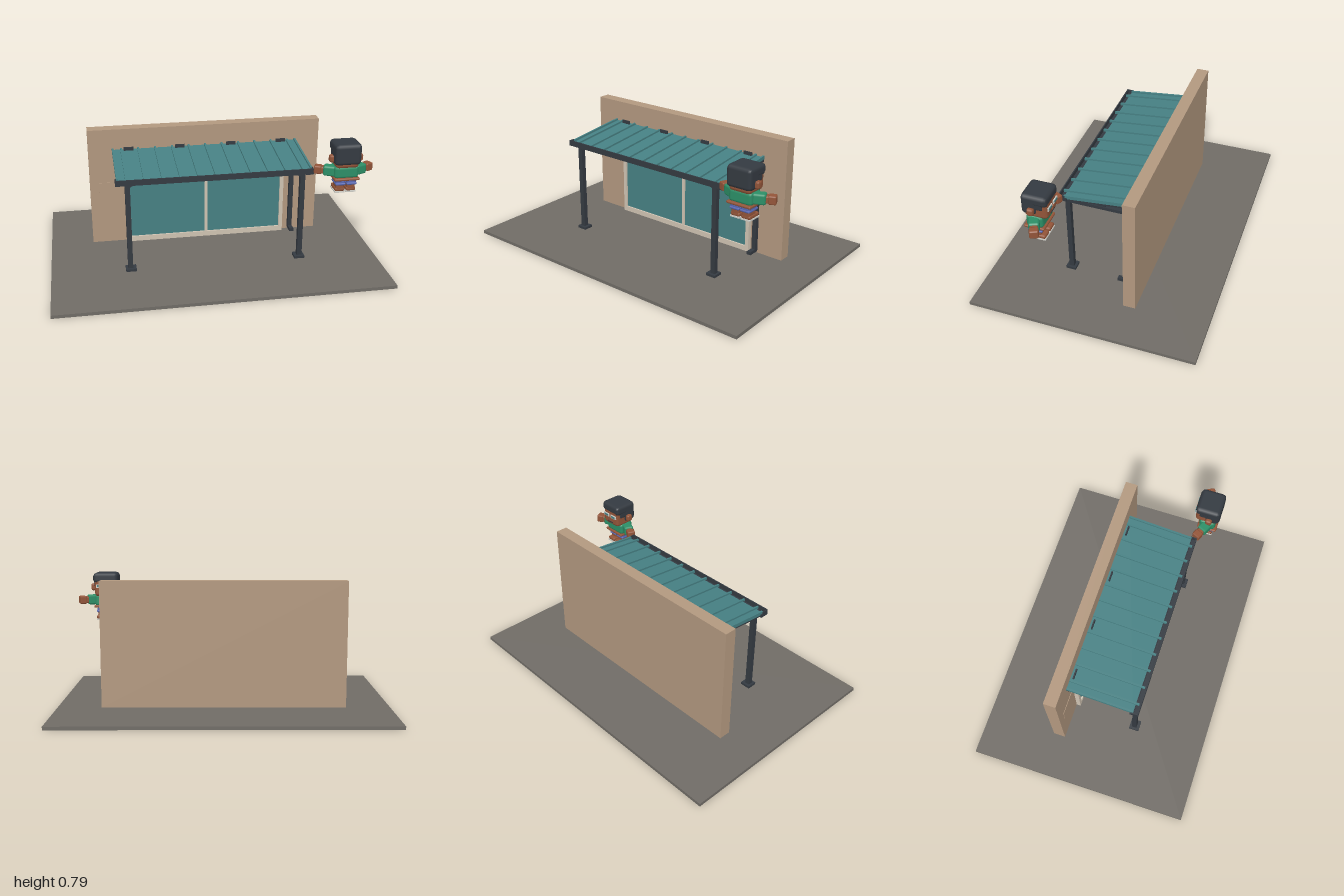
import * as THREE from 'three';
import { RoundedBoxGeometry } from 'three/addons/geometries/RoundedBoxGeometry.js';

const material = (name, color, side = THREE.FrontSide) => {
  const m = new THREE.MeshStandardMaterial({ color, side });
  m.name = name;
  return m;
};

export function createModel() {
  const model = new THREE.Group();
  model.name = 'patioCanopy';
  const paving = material('paving grey', 0x706c66);
  const render = material('wall tan', 0xb2987f);
  const teal = material('roof teal', 0x468083);
  const dark = material('dark metal', 0x343a41);
  const trim = material('frame cream', 0xcfc3b2);
  const skin = material('skin brown', 0x935539);
  const green = material('shirt green', 0x2c8f67);
  const blue = material('trouser blue', 0x5a69b4);
  const pale = material('pale grey', 0xcfcfc8);

  const add = (parent, name, geometry, mat, x, y, z) => {
    const mesh = new THREE.Mesh(geometry, mat);
    mesh.name = name;
    mesh.position.set(x, y, z);
    parent.add(mesh);
    return mesh;
  };
  // box given by its limits on each axis
  const box = (parent, name, mat, x0, x1, y0, y1, z0, z1) =>
    add(parent, name, new THREE.BoxGeometry(x1 - x0, y1 - y0, z1 - z0), mat,
      (x0 + x1) / 2, (y0 + y1) / 2, (z0 + z1) / 2);
  // soft-edged box given by its limits
  const soft = (parent, name, mat, x0, x1, y0, y1, z0, z1, r) =>
    add(parent, name, new RoundedBoxGeometry(x1 - x0, y1 - y0, z1 - z0, 1, r), mat,
      (x0 + x1) / 2, (y0 + y1) / 2, (z0 + z1) / 2);
  const group = (name, parent = model) => {
    const g = new THREE.Group();
    g.name = name;
    parent.add(g);
    return g;
  };

  // Ground and wall
  box(model, 'groundSlab', paving, -1, 1, 0, 0.02, -0.683, 0.683);
  box(model, 'wall', render, -0.735, 0.735, 0.02, 0.78, -0.247, -0.173);
  box(model, 'wallPanel', render, -0.68, -0.54, 0.31, 0.43, -0.173, -0.17);

  // Sliding door
  const door = group('door');
  for (const s of [-1, 1]) {
    box(door, 'doorJamb', trim, s * 0.499 - 0.012, s * 0.499 + 0.012, 0.02, 0.59, -0.173, -0.146);
    box(door, 'doorGlass', teal, s * 0.248 - 0.239, s * 0.248 + 0.239, 0.053, 0.568, -0.173, -0.157);
  }
  box(door, 'doorMullion', trim, -0.01, 0.01, 0.05, 0.57, -0.173, -0.15);
  box(door, 'doorSill', trim, -0.511, 0.511, 0.02, 0.053, -0.173, -0.146);
  box(door, 'doorHead', trim, -0.511, 0.511, 0.566, 0.59, -0.173, -0.146);

  // Front posts with base plates and knee braces
  for (const s of [-1, 1]) {
    const post = group(s > 0 ? 'leftPost' : 'rightPost');
    box(post, 'postShaft', dark, s * 0.525 - 0.015, s * 0.525 + 0.015, 0.02, 0.59, 0.214, 0.243);
    box(post, 'postBase', dark, s * 0.522 - 0.032, s * 0.522 + 0.032, 0.02, 0.035, 0.198, 0.26);
    const knee = add(post, 'sideBrace', new THREE.BoxGeometry(0.045, 0.008, 0.02), dark, s * 0.492, 0.576, 0.229);
    knee.rotation.z = -s * 0.5;
    const back = add(post, 'backBrace', new THREE.BoxGeometry(0.02, 0.008, 0.04), dark, s * 0.525, 0.572, 0.2);
    back.rotation.x = 0.5;
  }

  // Sloped roof: pan, standing seams, rafters
  const roof = group('roof');
  roof.position.set(0, 0.627, 0.0275);
  roof.rotation.x = 0.106;
  box(roof, 'roofPan', teal, -0.588, 0.583, -0.011, 0, -0.201, 0.205);
  for (let i = 0; i < 11; i++) {
    const x = -0.53 + i * 0.1055;
    box(roof, 'roofSeam', teal, x - 0.006, x + 0.006, -0.004, 0.011, -0.201, 0.225);
  }
  for (const x of [-0.582, 0.577])
    box(roof, 'edgeSeam', teal, x - 0.006, x + 0.006, -0.004, 0.011, -0.201, 0.205);
  for (let i = 0; i < 5; i++) {
    const x = -0.57 + i * 0.284;
    box(roof, 'rafter', dark, x - 0.012, x + 0.012, -0.025, -0.011, -0.198, 0.2);
  }
  box(model, 'wallLedger', dark, -0.585, 0.58, 0.618, 0.634, -0.173, -0.155);
  for (const x of [-0.485, -0.165, 0.16, 0.48])
    box(model, 'roofClip', dark, x - 0.03, x + 0.03, 0.612, 0.667, -0.158, -0.15);

  // Gutter on the front beam
  const gutter = group('gutter');
  box(gutter, 'gutterFloor', dark, -0.595, 0.586, 0.583, 0.59, 0.212, 0.265);
  box(gutter, 'gutterFront', dark, -0.595, 0.586, 0.583, 0.618, 0.258, 0.265);
  box(gutter, 'frontBeam', dark, -0.595, 0.586, 0.583, 0.603, 0.212, 0.235);
  for (const x of [-0.592, 0.583])
    box(gutter, 'gutterEnd', dark, x - 0.003, x + 0.003, 0.583, 0.616, 0.225, 0.265);

  // Drainpipe: back along the side, down the wall, out at the foot
  const pipe = group('drainpipe');
  box(pipe, 'pipeTop', dark, 0.546, 0.573, 0.569, 0.589, -0.14, 0.24);
  box(pipe, 'pipeDown', dark, 0.546, 0.573, 0.04, 0.569, -0.156, -0.13);
  box(pipe, 'pipeSpout', dark, 0.546, 0.573, 0.04, 0.06, -0.13, -0.08);
  box(pipe, 'pipeHanger', dark, 0.55, 0.569, 0.587, 0.607, -0.015, 0.036);

  // Figure by the gutter, facing the wall
  const figure = group('figure');
  const cx = 0.763;
  soft(figure, 'head', skin, cx - 0.07, cx + 0.07, 0.64, 0.755, 0.216, 0.355, 0.02);
  soft(figure, 'hairBack', dark, cx - 0.08, cx + 0.08, 0.662, 0.79, 0.275, 0.367, 0.022);
  soft(figure, 'hairTop', dark, cx - 0.08, cx + 0.08, 0.725, 0.79, 0.213, 0.36, 0.022);
  soft(figure, 'hairSide', dark, cx - 0.076, cx + 0.076, 0.7, 0.76, 0.24, 0.34, 0.01);
  box(figure, 'nose', skin, cx - 0.012, cx + 0.012, 0.678, 0.698, 0.207, 0.22);
  box(figure, 'mouth', dark, cx - 0.025, cx + 0.025, 0.66, 0.665, 0.213, 0.218);
  soft(figure, 'torso', green, cx - 0.075, cx + 0.075, 0.572, 0.652, 0.245, 0.347, 0.02);
  soft(figure, 'belt', skin, cx - 0.078, cx + 0.078, 0.564, 0.58, 0.237, 0.36, 0.007);
  for (const s of [-1, 1]) {
    const x = cx + s * 0.034;
    soft(figure, 'ear', skin, cx + s * 0.087 - 0.016, cx + s * 0.087 + 0.016, 0.672, 0.717, 0.285, 0.325, 0.012);
    box(figure, 'eyeglass', pale, x - 0.025, x + 0.025, 0.697, 0.719, 0.21, 0.217);
    box(figure, 'lens', teal, x - 0.017, x + 0.017, 0.702, 0.714, 0.207, 0.211);

    // Arm reaching out and toward the wall
    const arm = group(s > 0 ? 'armPlusX' : 'armMinusX', figure);
    arm.position.set(cx + s * 0.055, 0.614, 0.304);
    arm.rotation.y = s > 0 ? 0.42 : Math.PI - 0.42;
    soft(arm, 'sleeve', green, 0, 0.075, -0.031, 0.031, -0.031, 0.031, 0.012);
    soft(arm, 'forearm', skin, 0.06, 0.125, -0.021, 0.021, -0.022, 0.022, 0.008);
    soft(arm, 'hand', skin, 0.085, 0.13, -0.025, 0.025, -0.026, 0.026, 0.008);

    // Leg, trouser cuff and shoe
    soft(figure, 'trouserLeg', blue, x - 0.028, x + 0.028, 0.528, 0.567, 0.262, 0.342, 0.01);
    soft(figure, 'trouserCuff', blue, x - 0.031, x + 0.031, 0.533, 0.547, 0.258, 0.346, 0.006);
    soft(figure, 'shin', skin, x - 0.025, x + 0.025, 0.5, 0.535, 0.268, 0.335, 0.008);
    soft(figure, 'shoe', skin, x - 0.03, x + 0.03, 0.49, 0.515, 0.242, 0.336, 0.01);
    box(figure, 'shoeSole', pale, x - 0.03, x + 0.03, 0.483, 0.491, 0.242, 0.336);
  }
  return model;
}
